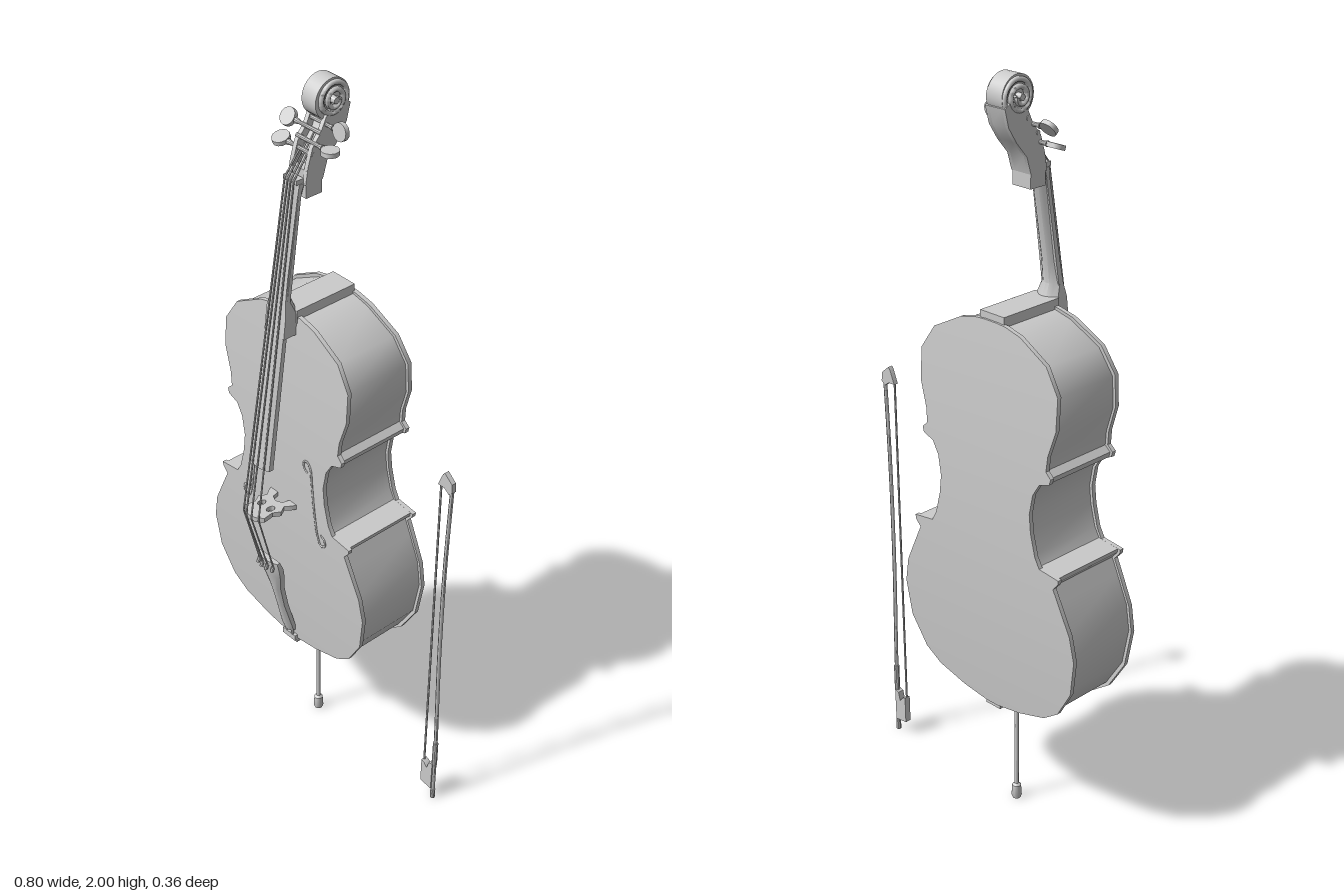
import * as THREE from 'three';
import { toCreasedNormals } from 'three/addons/utils/BufferGeometryUtils.js';

const material = new THREE.MeshStandardMaterial({ color: 0xcccccc, side: THREE.DoubleSide });
const V = (x, y, z) => new THREE.Vector3(x, y, z);

function add(group, name, geometry, crease = 0.6) {
  const mesh = new THREE.Mesh(toCreasedNormals(geometry, crease), material);
  mesh.name = name;
  group.add(mesh);
  return mesh;
}

// Skin over rings of points, listed from bottom to top, with closed ends
function loft(rings) {
  const n = rings[0].length, index = [], last = (rings.length - 1) * n;
  for (let i = 0; i < rings.length - 1; i++) {
    for (let j = 0; j < n; j++) {
      const a = i * n + j, b = i * n + (j + 1) % n;
      index.push(a, b, b + n, a, b + n, a + n);
    }
  }
  for (let j = 1; j < n - 1; j++) index.push(0, j + 1, j, last, last + j, last + j + 1);
  const geometry = new THREE.BufferGeometry();
  geometry.setAttribute('position', new THREE.Float32BufferAttribute(rings.flat(2), 3));
  geometry.setIndex(index);
  return geometry;
}

// Rectangular section: half width, height, front z, back z
const rect = (w, y, f, b) => [[-w, y, f], [w, y, f], [w, y, b], [-w, y, b]];
// Section with a rounded front (bulge > 0) or rounded back (bulge < 0)
function rounded(w, y, f, b, bulge) {
  const front = [], back = [];
  for (let i = 0; i <= 6; i++) {
    const s = i / 3 - 1, k = 1 - s * s;
    front.push([s * w, y, f - Math.max(bulge, 0) * (1 - k)]);
    back.push([-s * w, y, b - Math.min(bulge, 0) * (1 - k)]);
  }
  return [...front, ...back];
}

function rod(group, name, a, b, r0, r1 = r0, sides = 10) {
  const geometry = new THREE.CylinderGeometry(r1, r0, a.distanceTo(b), sides);
  const mesh = add(group, name, geometry, 0.9);
  mesh.position.copy(a).lerp(b, 0.5);
  mesh.quaternion.setFromUnitVectors(V(0, 1, 0), b.clone().sub(a).normalize());
  return mesh;
}

function box(group, name, w, h, d, x, y, z) {
  const mesh = add(group, name, new THREE.BoxGeometry(w, h, d));
  mesh.position.set(x, y, z);
  return mesh;
}

function tube(group, name, points, r, steps = 40) {
  return add(group, name, new THREE.TubeGeometry(new THREE.CatmullRomCurve3(points), steps, r, 6), 1.2);
}

// Side profile given as (z, y), extruded across x
function sideProfile(points, width, x = 0) {
  const shape = new THREE.Shape(points.map(p => new THREE.Vector2(...p)));
  return new THREE.ExtrudeGeometry(shape, { depth: width, bevelEnabled: false })
    .rotateY(-Math.PI / 2).translate(x + width / 2, 0, 0);
}

// Body outline: half width, height
const outline = [
  [.02, .345], [.10, .358], [.19, .385], [.24, .42], [.288, .50], [.303, .60], [.29, .67], [.255, .745],
  [.236, .785], [.252, .803], [.254, .815], [.19, .823], [.175, .85], [.16, .91], [.155, .96], [.165, 1.015],
  [.185, 1.048], [.218, 1.06], [.222, 1.075], [.206, 1.09], [.21, 1.13], [.232, 1.20], [.232, 1.285],
  [.19, 1.35], [.10, 1.398], [.05, 1.41], [.02, 1.412]];
const arch = y => 1 - ((y - .88) / .54) ** 2;
const frontZ = y => .036 + .022 * arch(y);
const backZ = y => -.155 - .025 * arch(y);

function buildBody(g) {
  add(g, 'frontPlate', loft(outline.map(([w, y]) => rect(w, y, frontZ(y), frontZ(y) - .012))));
  add(g, 'backPlate', loft(outline.map(([w, y]) => rect(w, y, backZ(y) + .012, backZ(y)))));
  add(g, 'ribs', loft(outline.map(([w, y]) =>
    rect(Math.max(w - .008, .01), .88 + (y - .88) * .987, frontZ(y) - .01, backZ(y) + .01))));
  box(g, 'topStrip', .08, .035, .19, 0, 1.412, -.055);
  box(g, 'bottomStrip', .05, .025, .19, 0, .345, -.055);
  // Sound holes
  for (const s of [-1, 1]) {
    const pts = [[.095, .975], [.083, .985], [.08, 1.0], [.092, 1.01], [.106, .995], [.112, .95], [.122, .86],
      [.134, .79], [.146, .765], [.162, .775], [.158, .795], [.146, .80]];
    tube(g, 'soundHole', pts.map(([x, y]) => V(s * x, y, frontZ(y) - .001)), .004, 50);
  }
}

function buildNeck(g) {
  add(g, 'neck', loft([[.036, 1.36, .08, .0], [.036, 1.425, .072, .02], [.029, 1.46, .066, .034],
    [.026, 1.52, .056, .028], [.024, 1.72, .022, -.006], [.026, 1.76, .016, -.02]]
    .map(([w, y, f, b]) => rounded(w, y, f, b, -.02))));
  add(g, 'fingerboard', loft([[.037, .985, .145, .122], [.024, 1.762, .022, .004]]
    .map(([w, y, f, b]) => rounded(w, y, f, b, .009))));
  box(g, 'neckCollar', .06, .042, .05, 0, 1.74, -.026);
  box(g, 'nut', .048, .012, .022, 0, 1.766, .012);
}

function buildHead(g) {
  const outer = [[.002, 1.755], [-.052, 1.755], [-.066, 1.80], [-.10, 1.84], [-.126, 1.88], [-.138, 1.925],
    [-.10, 1.95], [-.062, 1.91], [-.045, 1.875], [-.02, 1.845], [-.006, 1.80]];
  const inner = [[-.025, 1.755], [-.052, 1.755], [-.066, 1.80], [-.10, 1.84], [-.126, 1.88], [-.138, 1.925],
    [-.10, 1.95], [-.08, 1.905], [-.065, 1.87], [-.042, 1.84], [-.03, 1.80]];
  for (const s of [-1, 1]) add(g, 'pegboxCheek', sideProfile(outer, .012, s * .026));
  add(g, 'pegboxBack', sideProfile(inner, .045));
  box(g, 'pegboxFoot', .06, .03, .04, 0, 1.775, -.024);
  // Scroll: core, raised volutes and eyes
  const cy = 1.946, cz = -.088;
  rod(g, 'scrollCore', V(-.024, cy, cz), V(.024, cy, cz), .052, .052, 28);
  for (const s of [-1, 1]) {
    const pts = [];
    for (let i = 0; i <= 36; i++) {
      const t = i / 36, a = -2.6 - t * 4.2 * Math.PI, r = .046 - .034 * t;
      pts.push(V(s * (.024 + .01 * t), cy + r * Math.sin(a), cz + r * Math.cos(a)));
    }
    tube(g, 'scrollVolute', pts, .007, 90);
    rod(g, 'scrollEye', V(s * .02, cy, cz), V(s * .04, cy, cz), .01, .008, 12);
  }
  // Pegs: side, height, z, tilt of the flat thumb piece about the shaft
  for (const [s, y, z, tilt] of [[-1, 1.875, -.046, .9], [-1, 1.828, -.022, .35],
    [1, 1.892, -.063, 1.45], [1, 1.852, -.03, 0]]) {
    const peg = new THREE.Group();
    peg.name = 'peg';
    rod(peg, 'pegShaft', V(-s * .034, 0, 0), V(s * .065, 0, 0), .006, .005);
    rod(peg, 'pegCollar', V(s * .042, 0, 0), V(s * .056, 0, 0), .005, .008);
    const thumb = rod(peg, 'pegThumb', V(s * .082, -.006, 0), V(s * .082, .006, 0), .023, .023, 14);
    thumb.rotation.x = tilt;
    peg.position.set(0, y, z);
    g.add(peg);
  }
}

function buildStrings(g) {
  // Bridge, drawn across x and standing out along z
  const shape = new THREE.Shape([[-.052, 0], [-.024, 0], [-.018, .022], [0, .03], [.018, .022], [.024, 0],
    [.052, 0], [.046, .014], [.034, .03], [.046, .05], [.034, .07], [.038, .1], [.02, .115], [0, .12],
    [-.02, .115], [-.038, .1], [-.034, .07], [-.046, .05], [-.034, .03], [-.046, .014]]
    .map(p => new THREE.Vector2(...p)));
  for (const s of [-1, 1]) {
    const hole = new THREE.Path();
    hole.absellipse(s * .018, .062, .009, .013, 0, Math.PI * 2);
    shape.holes.push(hole);
  }
  const bridge = new THREE.ExtrudeGeometry(shape, { depth: .014, bevelEnabled: false, curveSegments: 6 });
  add(g, 'bridge', bridge.rotateX(Math.PI / 2).translate(0, .845, .056));
  // Tailpiece and its loop
  add(g, 'tailpiece', loft([[.018, .375, .055, .036], [.021, .40, .064, .042], [.014, .48, .084, .06],
    [.019, .55, .1, .076], [.036, .61, .115, .09], [.044, .645, .125, .1], [.04, .668, .128, .108]]
    .map(([w, y, f, b]) => rounded(w, y, f, b, .01))));
  for (const s of [-1, 1]) {
    tube(g, 'tailLoop', [V(s * .012, .38, .045), V(s * .012, .34, .04), V(s * .008, .328, .02), V(0, .325, -.05)], .004, 16);
  }
  box(g, 'saddle', .05, .018, .022, 0, .35, .036);
  for (let i = 0; i < 4; i++) {
    const s = (i - 1.5) / 1.5, r = .0024;
    const top = V(s * .016, 1.768, .025), crest = V(s * .03, .84, .178 - .009 * s * s);
    const anchor = V(s * .028, .655, .127 - .005 * s * s);
    rod(g, 'string', crest, top, r, r, 6);
    rod(g, 'string', anchor, crest, r, r, 6);
    rod(g, 'stringInPegbox', top, V(s * .016, 1.83 + i * .018, -.026 - i * .011), r, r, 6);
    rod(g, 'fineTuner', anchor, anchor.clone().add(V(0, -.014, .006)), .005, .005, 8);
  }
}

function buildEndpin(g) {
  const profile = [[0, 0], [.011, 0], [.014, .008], [.012, .04], [.006, .046], [.006, .305], [.014, .308],
    [.017, .32], [.028, .325], [.028, .337], [.018, .345], [0, .345]];
  const geometry = new THREE.LatheGeometry(profile.map(p => new THREE.Vector2(...p)), 16);
  add(g, 'endpin', geometry).position.z = -.062;
}

function buildBow(g) {
  const z = -.063;
  tube(g, 'bowStick', [V(.379, .02, z), V(.381, .2, z), V(.378, .55, z), V(.383, .85, z), V(.394, 1.1, z)], .0055);
  rod(g, 'bowButton', V(.379, 0, z), V(.379, .03, z), .007, .007);
  rod(g, 'bowGrip', V(.38, .13, z), V(.381, .21, z), .0075, .0075);
  // Frog and head are flat plates in the x, y plane
  const plate = (name, points, depth) => add(g, name, new THREE.ExtrudeGeometry(
    new THREE.Shape(points.map(p => new THREE.Vector2(...p))), { depth, bevelEnabled: false })
    .translate(0, 0, z - depth / 2));
  plate('bowFrog', [[.338, .042], [.378, .038], [.38, .135], [.366, .13], [.36, .105], [.35, .118], [.339, .122]], .018);
  plate('bowHead', [[.351, 1.087], [.372, 1.087], [.388, 1.075], [.4, 1.085], [.398, 1.11], [.372, 1.132], [.366, 1.125]], .013);
  rod(g, 'bowHair', V(.341, .11, z), V(.356, 1.09, z), .003, .003, 6);
}

export function createModel() {
  const model = new THREE.Group();
  model.name = 'celloAndBow';
  const cello = new THREE.Group(), bow = new THREE.Group();
  cello.name = 'cello';
  bow.name = 'bow';
  for (const build of [buildBody, buildNeck, buildHead, buildStrings, buildEndpin]) build(cello);
  buildBow(bow);
  cello.position.x = -.097;
  model.add(cello, bow);
  return model;
}
